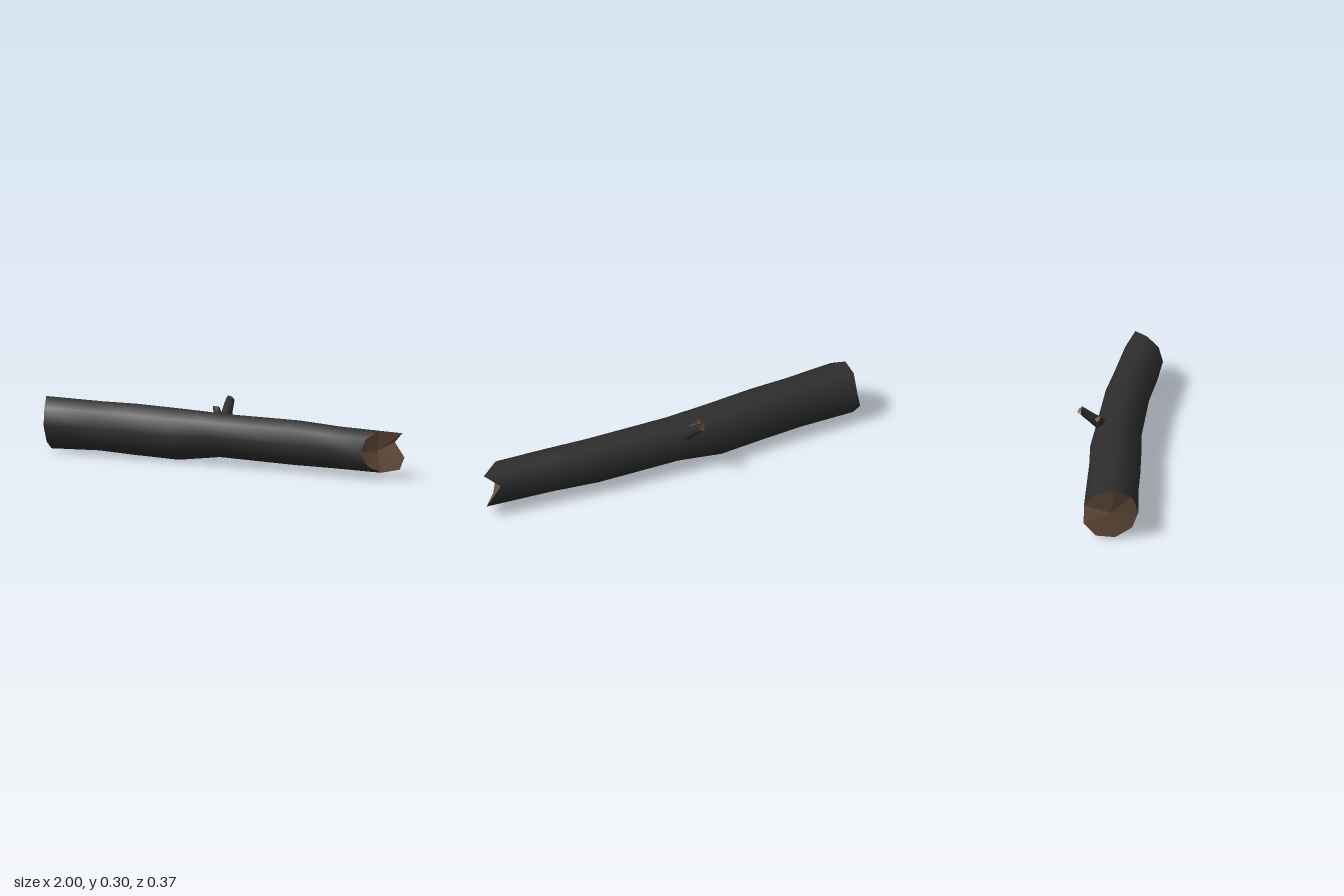
import * as THREE from 'three';

const bark = new THREE.MeshStandardMaterial({ color: 0x2d2d2d });
bark.name = 'charredBark';
const wood = new THREE.MeshStandardMaterial({ color: 0x6a503e });
wood.name = 'bareWood';

function makeMesh(points, index, material, name) {
  let geo = new THREE.BufferGeometry();
  geo.setAttribute('position', new THREE.Float32BufferAttribute(points.flatMap(p => p.toArray()), 3));
  geo.setIndex(index);
  if (material === wood) geo = geo.toNonIndexed(); // facets on the broken ends
  geo.computeVertexNormals();
  const mesh = new THREE.Mesh(geo, material);
  mesh.name = name;
  return mesh;
}

// Smooth skin over rings that run along +x
function skin(rings, name) {
  const n = rings[0].length, index = [];
  for (let i = 0; i < rings.length - 1; i++) {
    for (let j = 0; j < n; j++) {
      const a = i * n + j, b = i * n + (j + 1) % n;
      index.push(a, a + n, b, b, a + n, b + n);
    }
  }
  return makeMesh(rings.flat(), index, bark, name);
}

// Hollowed fan closing one ring; side is +1 for the +x end, -1 for the other
function brokenEnd(ring, centre, side, name) {
  const n = ring.length, index = [];
  for (let j = 0; j < n; j++) {
    const k = (j + 1) % n;
    index.push(n, ...(side > 0 ? [k, j] : [j, k]));
  }
  return makeMesh([...ring, centre], index, wood, name);
}

// Ring of points; angle 0 is +z, then up. xs gives each point's x.
function ring(xs, yc, zc, ry, rz) {
  return xs.map((x, j) => {
    const a = j / xs.length * Math.PI * 2;
    return new THREE.Vector3(x, yc + ry * Math.sin(a), zc + rz * Math.cos(a));
  });
}

// Nine-sided trunk ring from its lowest and highest y and z
function trunkRing(x, y0, y1, z0, z1) {
  const xs = Array.isArray(x) ? x : Array(9).fill(x);
  const rz = (z1 - z0) / 1.94;
  return ring(xs, (y0 + y1) / 2, z1 - rz, (y1 - y0) / 1.97, rz);
}

// Tapered twig with a jagged, hollow tip
function twig(name, from, to, r0, r1, jag) {
  const group = new THREE.Group();
  group.name = name;
  const start = new THREE.Vector3(...from);
  const dir = new THREE.Vector3(...to).sub(start);
  const len = dir.length();
  const rMid = r0 * 0.35 + r1 * 0.65;
  const base = ring(Array(6).fill(0), 0, 0, r0, r0);
  const mid = ring(Array(6).fill(len * 0.45), 0, 0, rMid, rMid);
  const tip = ring(jag.map(j => len + j), 0, 0, r1, r1);
  group.add(skin([base, mid, tip], name + 'Bark'));
  group.add(brokenEnd(tip, new THREE.Vector3(len - 0.01, 0, 0), 1, name + 'Tip'));
  group.position.copy(start);
  group.quaternion.setFromUnitVectors(new THREE.Vector3(1, 0, 0), dir.normalize());
  return group;
}

export function createModel() {
  const log = new THREE.Group();
  log.name = 'burntLog';

  // Gently bent trunk with ragged ends
  const leftX = [-0.94, -0.955, -0.995, -0.995, -0.983, -1, -0.99, -0.965, -0.942];
  const rightX = [0.85, 0.87, 0.91, 1, 0.93, 0.985, 0.985, 0.92, 0.88];
  const rings = [
    trunkRing(leftX, 0.007, 0.26, -0.075, 0.187),
    trunkRing(-0.7, 0.015, 0.256, -0.085, 0.165),
    trunkRing(-0.5, 0.007, 0.258, -0.092, 0.156),
    trunkRing(-0.26, 0, 0.251, -0.108, 0.14),
    trunkRing(-0.03, 0.03, 0.243, -0.1, 0.122),
    trunkRing(0.4, 0.025, 0.245, -0.09, 0.122),
    trunkRing(0.63, 0.03, 0.237, -0.068, 0.141),
    trunkRing(rightX, 0.031, 0.235, -0.042, 0.148),
  ];
  log.add(skin(rings, 'trunk'));
  log.add(brokenEnd(rings[0], new THREE.Vector3(-0.965, 0.135, 0.055), -1, 'rightBrokenEnd'));
  log.add(brokenEnd(rings[7], new THREE.Vector3(0.89, 0.135, 0.053), 1, 'leftBrokenEnd'));

  // Snapped branch and the small stub beside it
  log.add(twig('branch', [-0.06, 0.19, -0.062], [-0.095, 0.283, -0.168], 0.037, 0.021,
    [0.002, 0.01, 0.006, -0.012, 0.006, 0.002]));
  log.add(twig('stub', [-0.085, 0.2, -0.05], [-0.12, 0.251, -0.082], 0.026, 0.017,
    [0, 0.006, 0.004, -0.006, 0.002, -0.004]));
  return log;
}
